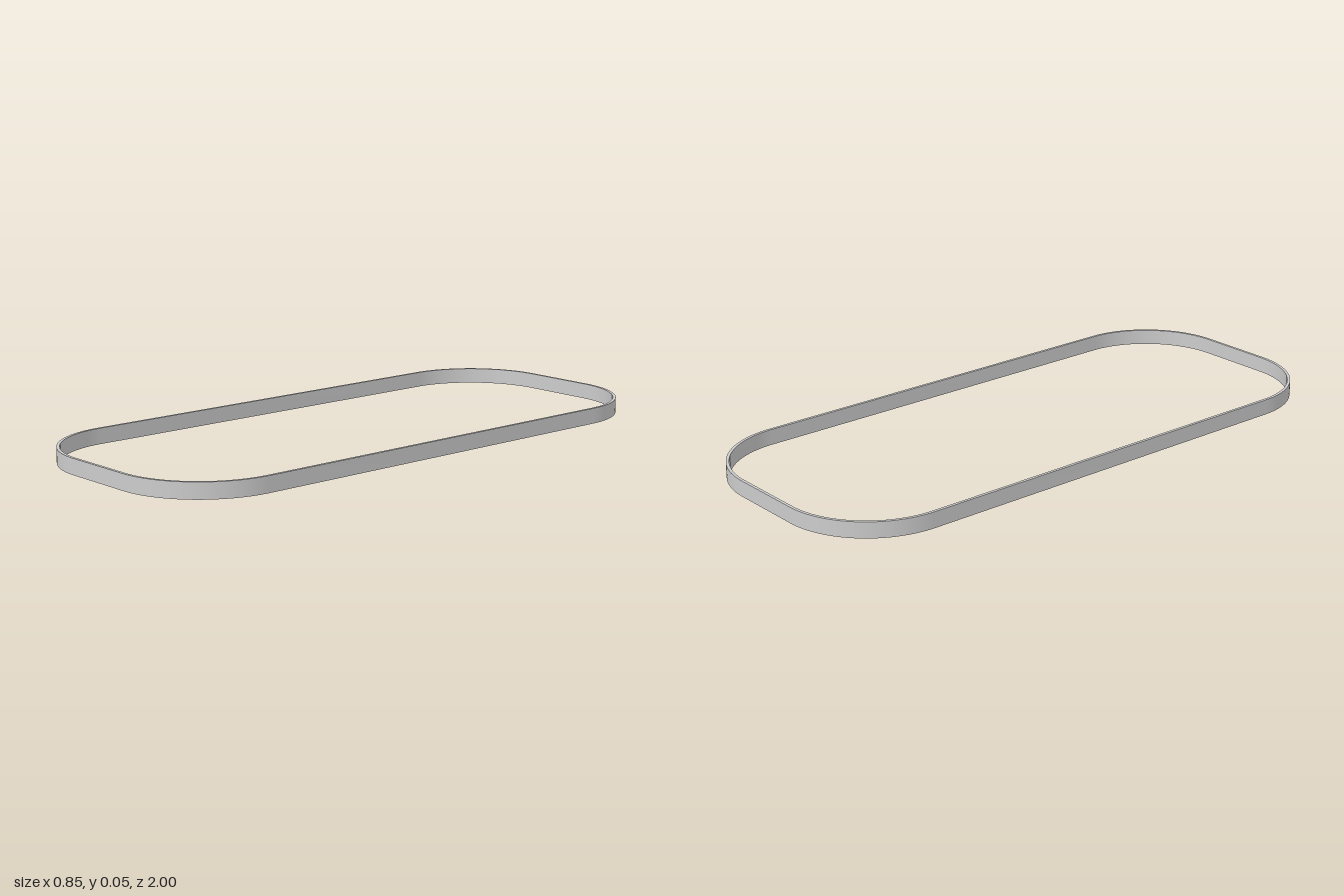
import * as THREE from 'three';
import { toCreasedNormals } from 'three/addons/utils/BufferGeometryUtils.js';

const HALF_WIDTH = 0.427, HALF_LENGTH = 1, RADIUS = 0.3;
const HEIGHT = 0.052, WALL = 0.01;

// Rounded rectangle, drawn counter-clockwise and inset from the outer edge
function roundedOutline(path, inset) {
  const cx = HALF_WIDTH - RADIUS, cy = HALF_LENGTH - RADIUS, r = RADIUS - inset;
  const corners = [[cx, cy], [-cx, cy], [-cx, -cy], [cx, -cy]];
  corners.forEach(([x, y], i) => {
    path.absarc(x, y, r, i * Math.PI / 2, (i + 1) * Math.PI / 2, false);
  });
  return path;
}

export function createModel() {
  const group = new THREE.Group();
  group.name = 'roundedBand';

  // Thin upright wall following the outline
  const shape = roundedOutline(new THREE.Shape(), 0);
  shape.holes.push(roundedOutline(new THREE.Path(), WALL));
  const geometry = new THREE.ExtrudeGeometry(shape, {
    depth: HEIGHT, bevelEnabled: false, curveSegments: 20,
  });
  geometry.rotateX(-Math.PI / 2);

  const band = new THREE.Mesh(
    toCreasedNormals(geometry, Math.PI / 6),
    new THREE.MeshStandardMaterial({ color: 0xcccccc }),
  );
  band.name = 'band';
  group.add(band);
  return group;
}
